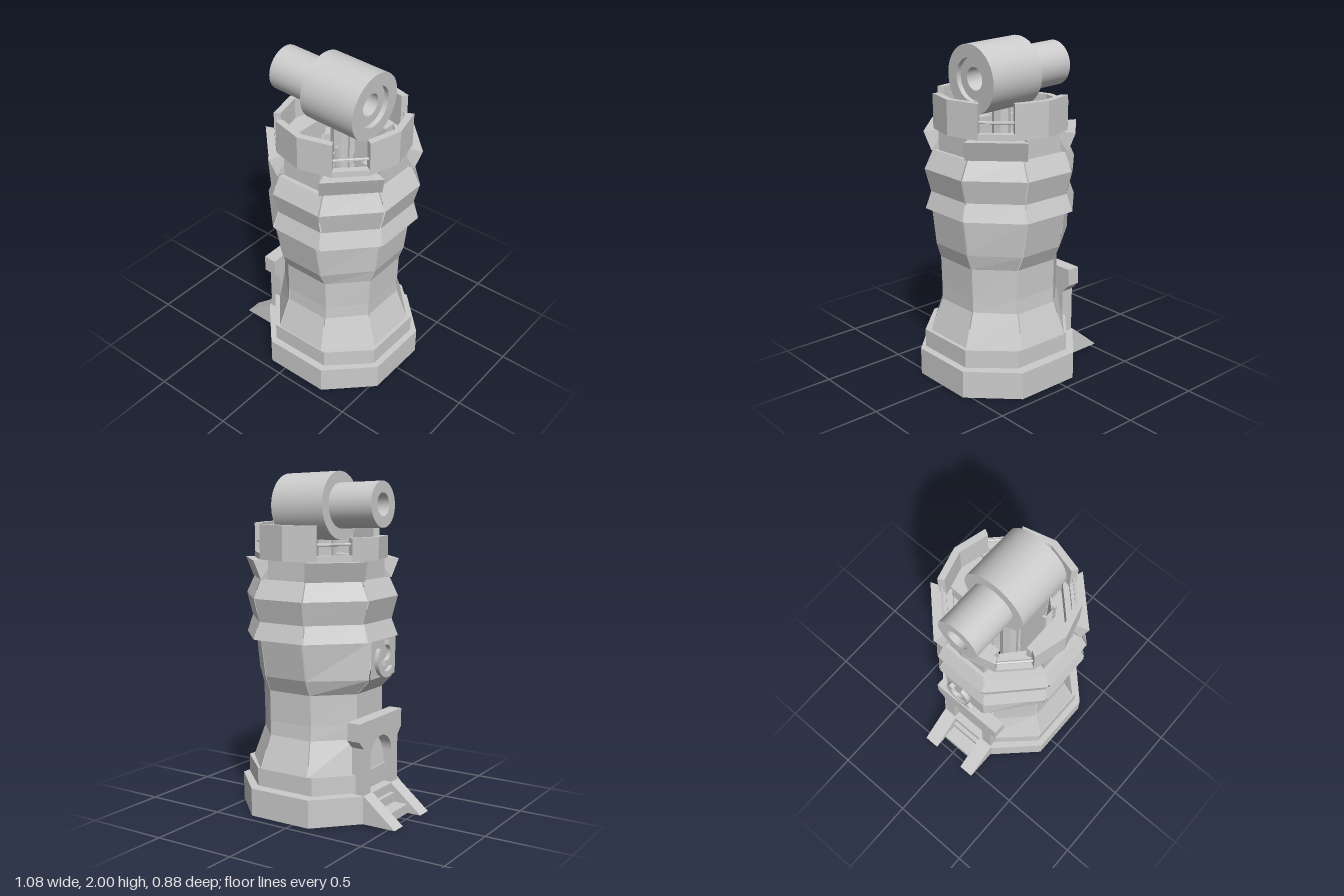
import * as THREE from 'three';
import { ConvexGeometry } from 'three/addons/geometries/ConvexGeometry.js';

const material = new THREE.MeshStandardMaterial({ color: 0xcccccc, flatShading: true, side: THREE.DoubleSide });
const smoothMaterial = new THREE.MeshStandardMaterial({ color: 0xcccccc, side: THREE.DoubleSide });

function add(parent, name, geometry, x = 0, y = 0, z = 0, mat = material) {
  const mesh = new THREE.Mesh(geometry, mat);
  mesh.name = name;
  mesh.position.set(x, y, z);
  parent.add(mesh);
  return mesh;
}

// Octagonal cross-section: x range, z half depth and half length of the straight sides
function octagon([y, x0, x1, a, h]) {
  const c = 0.09;
  return [[c + h, a], [x1, h], [x1, -h], [c + h, -a], [c - h, -a], [x0, -h], [x0, h], [c - h, a]]
    .map(([x, z]) => new THREE.Vector3(x, y, z));
}

// Joins a closed loop of octagons (up the outside, down the inside) into a hollow drum
// of eight panels, with an optional narrow seam between them
function drum(sections, seam = 0) {
  const rings = sections.map(octagon);
  const out = [];
  rings.forEach((lower, i) => {
    const upper = rings[(i + 1) % rings.length];
    for (let j = 0; j < 8; j++) {
      const k = (j + 1) % 8;
      const [a, b] = [lower[j].clone().lerp(lower[k], seam), lower[k].clone().lerp(lower[j], seam)];
      const [d, c] = [upper[j].clone().lerp(upper[k], seam), upper[k].clone().lerp(upper[j], seam)];
      out.push(a, b, c, a, c, d);
    }
  });
  const g = new THREE.BufferGeometry().setFromPoints(out);
  g.computeVertexNormals();
  return g;
}

// Part of a twelve-sided ring between two angles, standing upright
function ringWall(from, to, height) {
  const point = (r, deg) => new THREE.Vector2(r * Math.cos(deg * Math.PI / 180), r * Math.sin(deg * Math.PI / 180));
  const points = [];
  for (let d = from; d <= to; d += 30) points.push(point(0.39, d));
  for (let d = to; d >= from; d -= 30) points.push(point(0.35, d));
  const g = new THREE.ExtrudeGeometry(new THREE.Shape(points), { depth: height, bevelEnabled: false });
  return g.rotateX(-Math.PI / 2);
}

function rod(a, b, r) {
  const curve = new THREE.LineCurve3(new THREE.Vector3(...a), new THREE.Vector3(...b));
  return new THREE.TubeGeometry(curve, 1, r, 6);
}

// Extrudes a shape drawn in (z, y) towards -x
function extrudeLeftwards(shape, depth) {
  return new THREE.ExtrudeGeometry(shape, { depth, bevelEnabled: false, curveSegments: 10 }).rotateY(-Math.PI / 2);
}

function buildTower(root) {
  add(root, 'base', drum([
    [0, -0.34, 0.535, 0.44, 0.2], [0.165, -0.34, 0.535, 0.44, 0.2],
    [0.165, -0.14, 0.32, 0.23, 0.1], [0, -0.19, 0.37, 0.28, 0.125],
  ]), 0, 0, 0.003);
  add(root, 'plinth', drum([
    [0.172, -0.29, 0.5, 0.395, 0.19], [0.28, -0.29, 0.5, 0.395, 0.19],
    [0.28, -0.14, 0.3, 0.225, 0.1], [0.172, -0.14, 0.3, 0.225, 0.1],
  ]), 0, 0, 0.01);
  add(root, 'shaft', drum([
    [0.28, -0.28, 0.478, 0.395, 0.165], [0.475, -0.25, 0.41, 0.33, 0.14],
    [0.56, -0.25, 0.41, 0.325, 0.14], [0.74, -0.25, 0.415, 0.328, 0.14],
    [0.83, -0.335, 0.445, 0.37, 0.14], [1.05, -0.34, 0.47, 0.41, 0.14],
    [1.05, -0.14, 0.3, 0.225, 0.1], [0.28, -0.14, 0.3, 0.225, 0.1],
  ], 0.012), 0, 0, 0.003);
  add(root, 'flaredBands', drum([
    [1.05, -0.345, 0.503, 0.425, 0.17], [1.15, -0.31, 0.473, 0.392, 0.155],
    [1.285, -0.345, 0.507, 0.425, 0.165], [1.39, -0.295, 0.455, 0.378, 0.155],
    [1.39, -0.15, 0.31, 0.225, 0.1], [1.05, -0.14, 0.3, 0.225, 0.1],
  ], 0.012), 0, 0, -0.01);
}

// Flared blocks on the diagonals and recessed piers on the straight sides
function buildCrown(root) {
  const crown = new THREE.Group();
  crown.name = 'crown';
  crown.position.set(0.08, 1.39, -0.012);
  root.add(crown);
  const block = [[0.148, 0, 0.39], [0.39, 0, 0.148], [0.175, 0.11, 0.422], [0.422, 0.11, 0.175],
    [0.13, 0, 0.3], [0.3, 0, 0.13], [0.13, 0.11, 0.3], [0.3, 0.11, 0.13]];
  for (const sx of [-1, 1]) {
    for (const sz of [-1, 1]) {
      const corners = block.map(([x, y, z]) => new THREE.Vector3(sx * x, y, sz * z));
      add(crown, 'crownBlock', new ConvexGeometry(corners));
    }
  }
  for (let i = 0; i < 4; i++) {
    const pier = new THREE.BoxGeometry(0.25, 0.11, 0.125).translate(0, 0.055, 0.2925).rotateY(i * Math.PI / 2);
    add(crown, 'crownPier', pier);
  }
}

// Central column carrying the barrel, with an octagonal foot
function buildPost(root) {
  add(root, 'centralPost', new THREE.CylinderGeometry(0.055, 0.055, 1.56, 8), 0.07, 0.85);
  add(root, 'postFoot', new THREE.CylinderGeometry(0.165, 0.165, 0.04, 8).rotateY(Math.PI / 8), 0.07, 0.06);
}

function buildParapet(root) {
  const parapet = new THREE.Group();
  parapet.name = 'parapet';
  parapet.position.set(0.08, 1.5, -0.012);
  root.add(parapet);
  for (let i = 0; i < 4; i++) {
    const start = i * 90 - 30;
    // The wall beneath the thin end of the barrel is lower
    add(parapet, 'parapetWall', ringWall(start, start + 60, i === 2 ? 0.13 : 0.2));
    add(parapet, 'curb', ringWall(start + 60, start + 90, 0.035));
    const ends = [start + 60, start + 90].map((d) => d * Math.PI / 180);
    const [p, q] = ends.map((t) => [0.37 * Math.cos(t), 0.095, -0.37 * Math.sin(t)]);
    add(parapet, 'rail', rod(p, q, 0.008));
  }
  // Ladder rising out of the shaft
  for (const x of [0.045, 0.125]) add(parapet, 'ladderRail', new THREE.BoxGeometry(0.015, 0.42, 0.02), x, -0.11, 0.21);
  for (let i = 0; i < 7; i++) add(parapet, 'rung', new THREE.BoxGeometry(0.08, 0.01, 0.01), 0.085, -0.28 + i * 0.055, 0.21);
}

// Two-step barrel with a bore right through and a recess in the wide end
function buildBarrel(root) {
  const barrel = new THREE.Group();
  barrel.name = 'barrel';
  barrel.position.set(-0.055, 1.801, -0.007);
  barrel.rotation.z = -Math.PI / 2 - 0.042;
  root.add(barrel);
  const profile = [[0.066, -0.28], [0.131, -0.28], [0.131, 0], [0.197, 0], [0.197, 0.354], [0.122, 0.354], [0.122, 0.325], [0.066, 0.325], [0.066, -0.28]];
  const names = ['rearFace', 'narrowTube', 'shoulder', 'wideTube', 'wideEnd', 'recessWall', 'recessFloor', 'bore'];
  names.forEach((name, i) => {
    const pair = [profile[i], profile[i + 1]].map(([r, y]) => new THREE.Vector2(r, y));
    add(barrel, name, new THREE.LatheGeometry(pair, 40), 0, 0, 0, smoothMaterial);
  });
}

function buildEntrance(root) {
  // Sloping cheek walls and steps
  const slope = new THREE.Shape([[-0.54, 0], [-0.3, 0], [-0.3, 0.165], [-0.34, 0.165]].map((p) => new THREE.Vector2(...p)));
  for (const z of [-0.205, 0.102]) {
    add(root, 'stairCheek', new THREE.ExtrudeGeometry(slope, { depth: 0.096, bevelEnabled: false }), 0, 0, z);
  }
  for (let i = 0; i < 3; i++) {
    const front = -0.455 + i * 0.088;
    const height = 0.056 * (i + 1);
    add(root, 'step', new THREE.BoxGeometry(-0.25 - front, height, 0.2), (front - 0.25) / 2, height / 2, -0.004);
  }
  // Doorway with an arched opening and a wider head
  const outline = [[-0.12, 0.165], [-0.195, 0.165], [-0.195, 0.44], [-0.245, 0.49], [-0.245, 0.595],
    [0.235, 0.595], [0.235, 0.49], [0.19, 0.44], [0.19, 0.165], [0.12, 0.165]];
  const surround = new THREE.Shape(outline.map((p) => new THREE.Vector2(...p)));
  surround.lineTo(0.12, 0.36);
  surround.absarc(0, 0.36, 0.12, 0, Math.PI, false);
  add(root, 'doorSurround', extrudeLeftwards(surround, 0.08), -0.25);
}

// Two interlocking open arcs above the door
function buildOrnament(root) {
  const arc = (r0, r1, a0, a1) => {
    const s = new THREE.Shape();
    s.absarc(0, 0, r1, a0, a1, false);
    s.absarc(0, 0, r0, a1, a0, true);
    return s;
  };
  add(root, 'ornamentArc', extrudeLeftwards(arc(0.07, 0.105, 2.4, 5.6), 0.025), -0.345, 0.935, -0.005);
  add(root, 'ornamentHook', extrudeLeftwards(arc(0.045, 0.075, -1.8, 1.3), 0.025), -0.345, 0.975, -0.015);
}

export function createModel() {
  const root = new THREE.Group();
  root.name = 'tower';
  buildTower(root);
  buildCrown(root);
  buildPost(root);
  buildParapet(root);
  buildBarrel(root);
  buildEntrance(root);
  buildOrnament(root);
  return root;
}
